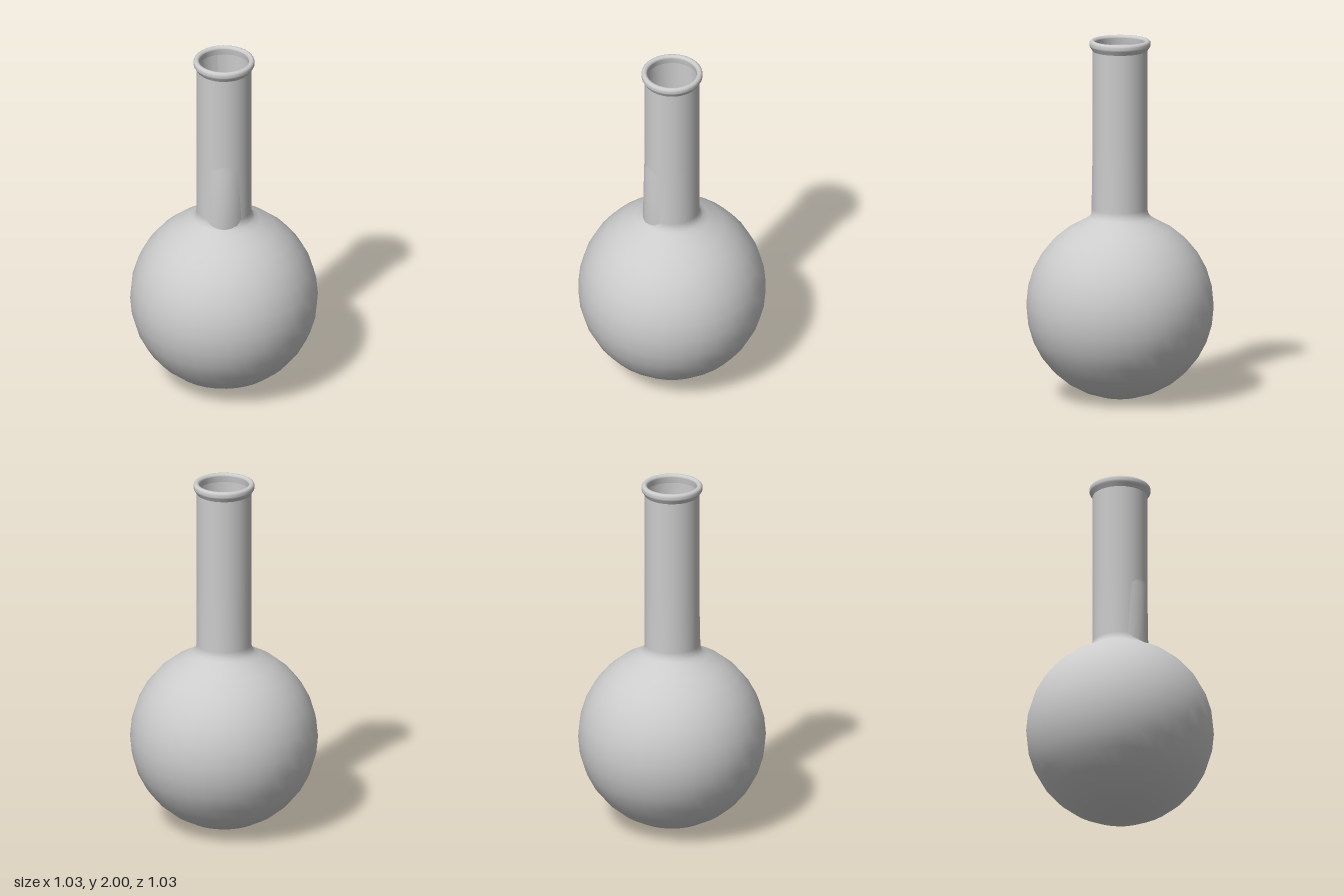
import * as THREE from 'three';

const SEGMENTS = 32;
const material = new THREE.MeshStandardMaterial({ color: 0xcccccc, side: THREE.DoubleSide });

// Arc of profile points, angles in degrees measured from the horizontal
function arc(cx, cy, r, from, to, steps) {
  return Array.from({ length: steps + 1 }, (_, i) => {
    const a = THREE.MathUtils.degToRad(from + ((to - from) * i) / steps);
    return new THREE.Vector2(Math.max(0, cx + r * Math.cos(a)), cy + r * Math.sin(a));
  });
}

const points = (list) => list.map(([x, y]) => new THREE.Vector2(x, y));

function lathe(name, profile) {
  const mesh = new THREE.Mesh(new THREE.LatheGeometry(profile, SEGMENTS, Math.PI), material);
  mesh.name = name;
  return mesh;
}

export function createModel() {
  const flask = new THREE.Group();
  flask.name = 'roundBottomFlask';

  // Outer glass: round bulb, soft shoulder and straight neck
  flask.add(lathe('outerWall', [
    ...arc(0, 0.52, 0.515, -90, 67.5, 14),
    ...points([[0.168, 1.015], [0.155, 1.035], [0.15, 1.06], [0.15, 1.42], [0.15, 1.94]]),
  ]));

  // Rolled lip around the mouth
  flask.add(lathe('rim', [
    ...points([[0.15, 1.94]]),
    ...arc(0.152, 1.973, 0.016, -45, 0, 2),
    ...arc(0.152, 1.984, 0.016, 0, 180, 8),
    ...points([[0.142, 1.95]]),
  ]));

  // Inner glass, running down the neck and around the bulb
  const inner = lathe('innerWall', [
    ...points([[0.142, 1.95], [0.142, 1.44], [0.142, 1.37], [0.142, 1.2], [0.142, 1.02], [0.15, 1.0]]),
    ...arc(0, 0.52, 0.505, 67.5, -90, 14),
  ]);

  // The inner neck bulges through the outer wall low on the front
  const pos = inner.geometry.attributes.position;
  for (let i = 0; i < pos.count; i++) {
    const x = pos.getX(i), y = pos.getY(i), z = pos.getZ(i);
    if (y < 1.01 || y > 1.4) continue;
    const facing = Math.max(0, Math.cos(Math.atan2(x, z) + 0.25));
    const push = THREE.MathUtils.mapLinear(y, 1.02, 1.37, 0.023, 0.014) * facing ** 4;
    const scale = 1 + push / Math.hypot(x, z);
    pos.setXYZ(i, x * scale, y, z * scale);
  }
  inner.geometry.computeVertexNormals();
  flask.add(inner);

  return flask;
}
